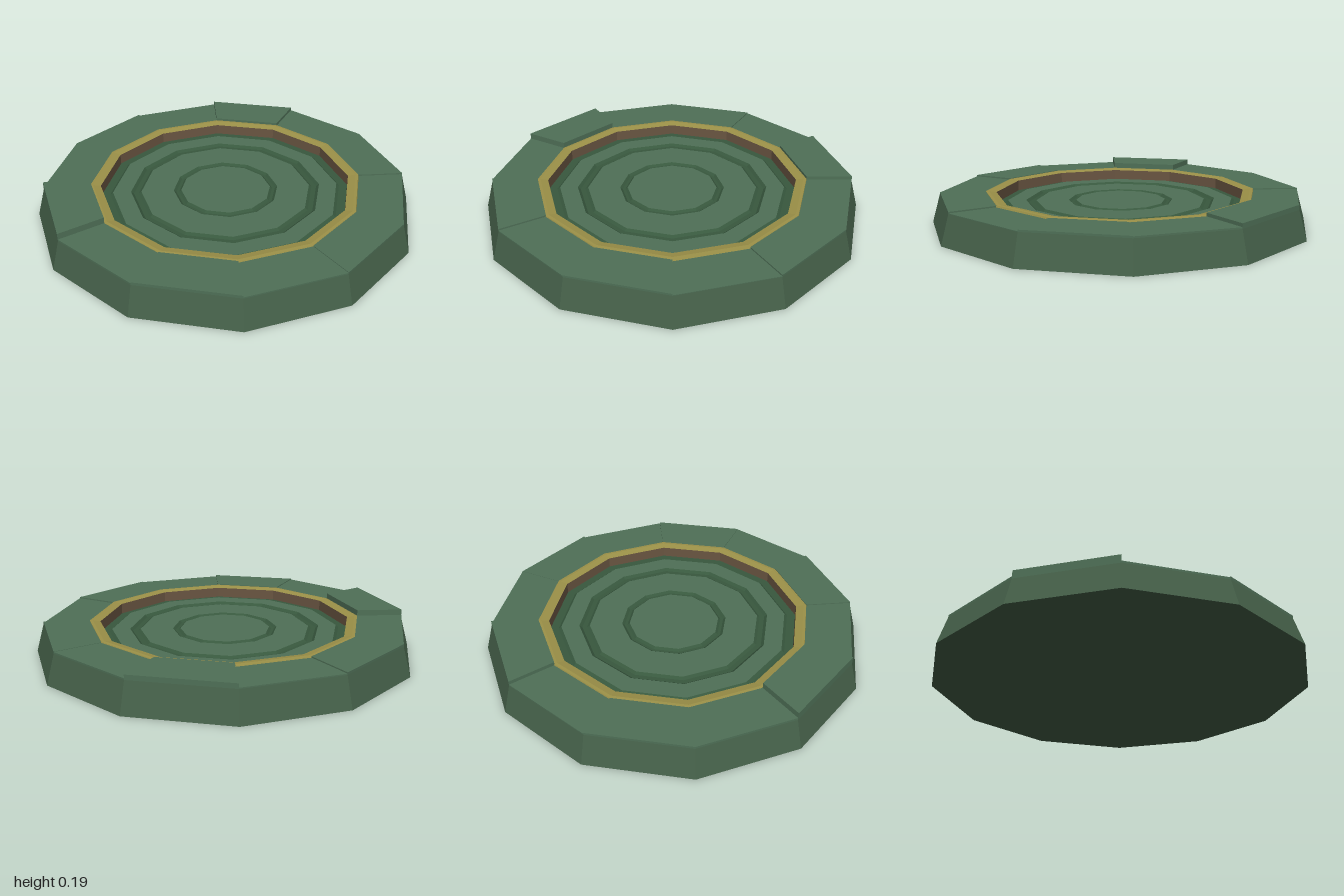
import * as THREE from 'three';

const SIDES = 12;
const GREEN = 0x4f7057, DARK = 0x38583e, BODY = 0x456049, GOLD = 0x9c9148, BROWN = 0x6a5642;

const material = (color) =>
  new THREE.MeshStandardMaterial({ color, flatShading: true });

// Twelve-sided ring turned from [radius, height] points
function ring(name, color, points) {
  const profile = points.map(([r, y]) => new THREE.Vector2(r, y));
  const mesh = new THREE.Mesh(new THREE.LatheGeometry(profile, SIDES), material(color));
  mesh.name = name;
  return mesh;
}

// One rim slab between two neighbouring corners, rising from inside the body
function rimSlab(index, top) {
  const bottom = 0.14, inner = 0.715, outer = 0.957;
  const a = (index * Math.PI) / 6, b = a + Math.PI / 6;
  const corner = (r, t) => new THREE.Vector2(r * Math.cos(t), -r * Math.sin(t));
  const shape = new THREE.Shape([
    corner(inner, a), corner(outer, a), corner(outer, b), corner(inner, b),
  ]);
  const geometry = new THREE.ExtrudeGeometry(shape, { depth: top - bottom, bevelEnabled: false });
  geometry.rotateX(-Math.PI / 2).translate(0, bottom, 0);
  const mesh = new THREE.Mesh(geometry, material(GREEN));
  mesh.name = 'rimSlab';
  return mesh;
}

export function createModel() {
  const group = new THREE.Group();
  group.name = 'steppedPlatform';

  // Sloped outer body with closed underside
  group.add(ring('body', BODY, [[0, 0], [1, 0], [0.957, 0.15], [0.69, 0.15]]));

  // Uneven slabs around the rim, starting at +x and going towards +z
  const tops = [0.16, 0.153, 0.16, 0.157, 0.165, 0.16, 0.192, 0.162, 0.162, 0.156, 0.175, 0.158];
  const slabs = new THREE.Group();
  slabs.name = 'rimSlabs';
  tops.forEach((top, i) => slabs.add(rimSlab(i, top)));
  group.add(slabs);

  // Gold trim and the wall below it
  group.add(ring('goldTrim', GOLD, [[0.72, 0.15], [0.715, 0.162], [0.7, 0.163], [0.66, 0.156]]));
  group.add(ring('innerWall', BROWN, [[0.66, 0.156], [0.66, 0.1]]));

  // Sunken floor: dark channels between flat terraces
  group.add(ring('outerChannel', DARK, [[0.66, 0.1], [0.615, 0.1], [0.6, 0.112]]));
  group.add(ring('outerTerrace', GREEN, [[0.6, 0.112], [0.505, 0.112]]));
  group.add(ring('middleChannel', DARK, [[0.505, 0.112], [0.49, 0.1], [0.465, 0.1], [0.45, 0.11]]));
  group.add(ring('middleTerrace', GREEN, [[0.45, 0.11], [0.278, 0.11]]));
  group.add(ring('innerChannel', DARK, [[0.278, 0.11], [0.265, 0.1], [0.25, 0.1], [0.238, 0.11]]));
  group.add(ring('centreDisc', GREEN, [[0.238, 0.11], [0, 0.11]]));

  return group;
}
